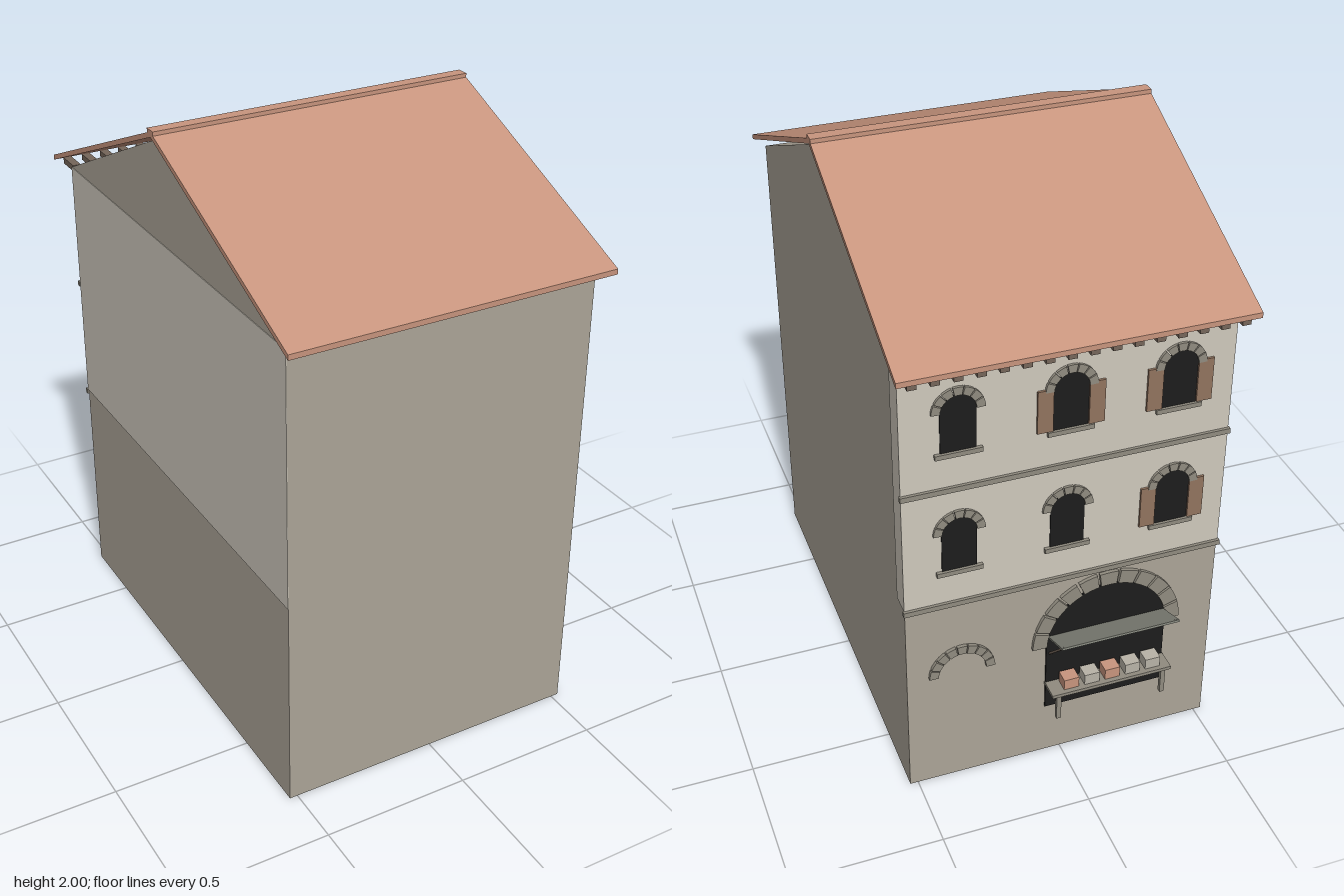
import * as THREE from 'three';

const mat = (name, color) => new THREE.MeshStandardMaterial({ name, color });
const stone = mat('wall stone', 0xaca598);
const plaster = mat('pale plaster', 0xcfc9bd);
const tile = mat('roof terracotta', 0xc8957e);
const trim = mat('trim stone', 0x918c80);
const dark = mat('dark opening', 0x1c1c1c);
const wood = mat('shutter wood', 0x92745f);
const rafterWood = mat('rafter wood', 0x75665a);
const canvas = mat('awning canvas', 0x82847a);
const paleCrate = mat('pale crate', 0xb9b4a8);

const BACK = -0.74; // plane of the decorated wall

export function createModel() {
  const root = new THREE.Group();

  function add(name, geo, material, parent = root) {
    const m = new THREE.Mesh(geo, material);
    m.name = name;
    parent.add(m);
    return m;
  }

  // Box given by its limits on each axis
  function box(name, x0, x1, y0, y1, z0, z1, material, parent) {
    const g = new THREE.BoxGeometry(x1 - x0, y1 - y0, z1 - z0);
    g.translate((x0 + x1) / 2, (y0 + y1) / 2, (z0 + z1) / 2);
    return add(name, g, material, parent);
  }

  // Side profile of [z, y] points drawn out from x0 to x1
  function prism(name, pts, x0, x1, material, parent) {
    const shape = new THREE.Shape(pts.map(([z, y]) => new THREE.Vector2(-z, y)));
    const g = new THREE.ExtrudeGeometry(shape, { depth: x1 - x0, bevelEnabled: false });
    g.rotateY(Math.PI / 2).translate(x0, 0, 0);
    return add(name, g, material, parent);
  }

  // Flat shape standing out of the decorated wall
  function onWall(name, shape, out, material, parent) {
    const g = new THREE.ExtrudeGeometry(shape, { depth: out, bevelEnabled: false, curveSegments: 12 });
    g.translate(0, 0, BACK - out);
    return add(name, g, material, parent);
  }

  // Round-headed opening
  function opening(x, y0, spring, r, parent) {
    const s = new THREE.Shape();
    s.moveTo(x - r, y0);
    s.lineTo(x + r, y0);
    s.lineTo(x + r, spring);
    s.absarc(x, spring, r, 0, Math.PI, false);
    s.closePath();
    onWall('opening', s, 0.006, dark, parent);
  }

  // Ring of separate wedge stones
  function arch(x, y, r0, r1, count, parent, out = 0.012) {
    const step = Math.PI / count;
    for (let i = 0; i < count; i++) {
      const a = (i + 0.06) * step, b = (i + 0.94) * step;
      const s = new THREE.Shape();
      s.absarc(x, y, r1, a, b, false);
      s.absarc(x, y, r0, b, a, true);
      s.closePath();
      onWall('archStone', s, out, trim, parent);
    }
  }

  // Main body with gables
  prism('walls', [[0.8, 0], [0.8, 1.62], [0.015, 1.97], [BACK, 1.62], [BACK, 0]], -0.527, 0.527, stone);

  // Plaster skin of the upper floors, returning round both corners
  box('plasterWall', -0.529, 0.529, 0.745, 1.618, BACK - 0.003, BACK, plaster);
  box('plasterReturnLeft', 0.527, 0.529, 0.745, 1.618, BACK, -0.67, plaster);
  box('plasterSideRight', -0.529, -0.527, 0.745, 1.618, BACK, 0.8, plaster);

  // Roof slopes and ridge
  const roof = new THREE.Group();
  roof.name = 'roof';
  root.add(roof);
  prism('frontSlope', [[0.865, 1.622], [0.865, 1.64], [0.012, 1.995], [0.012, 1.977]], -0.557, 0.557, tile, roof);
  prism('backSlope', [[0.012, 1.977], [0.012, 1.995], [-0.833, 1.638], [-0.833, 1.62]], -0.557, 0.557, tile, roof);
  box('ridge', -0.557, 0.557, 1.978, 2, -0.01, 0.032, tile, roof);

  // Rafter tails under the back eave
  const rafters = new THREE.Group();
  rafters.name = 'rafters';
  root.add(rafters);
  for (let i = 0; i < 16; i++) {
    const x = -0.51 + i * 0.068;
    box('rafter', x - 0.014, x + 0.014, 1.602, 1.623, -0.828, BACK, rafterWood, rafters);
  }

  // String courses
  for (const y of [0.738, 1.175]) {
    box('stringCourse', -0.533, 0.533, y - 0.009, y + 0.009, BACK - 0.013, BACK, trim);
  }

  // Two rows of arched windows, some with open shutters
  const shuttered = [[-0.35], [0, -0.35]];
  [0.87, 1.307].forEach((y, row) => {
    for (const x of [-0.35, 0, 0.35]) {
      const w = new THREE.Group();
      w.name = 'window';
      root.add(w);
      opening(x, y, y + 0.14, 0.056, w);
      arch(x, y + 0.14, 0.056, 0.083, 7, w);
      box('sill', x - 0.074, x + 0.074, y - 0.014, y + 0.002, BACK - 0.015, BACK, trim, w);
      if (!shuttered[row].includes(x)) continue;
      for (const s of [-1, 1]) {
        const cx = x + s * 0.082;
        box('shutter', cx - 0.025, cx + 0.025, y + 0.003, y + 0.15, BACK - 0.011, BACK, wood, w);
      }
    }
  });

  // Blind arch on the ground floor
  const blind = new THREE.Group();
  blind.name = 'blindArch';
  root.add(blind);
  arch(0.345, 0.445, 0.08, 0.11, 9, blind);

  // Shop opening
  const shop = new THREE.Group();
  shop.name = 'shop';
  root.add(shop);
  opening(-0.15, 0.2, 0.46, 0.208, shop);
  arch(-0.15, 0.46, 0.208, 0.257, 11, shop);

  // Awning propped open by two struts
  prism('awning', [[BACK, 0.496], [BACK, 0.503], [-0.863, 0.553], [-0.865, 0.546]], -0.352, 0.053, canvas, shop);
  for (const x of [-0.343, 0.044]) {
    prism('strut', [[BACK, 0.42], [BACK, 0.431], [-0.855, 0.55], [-0.858, 0.543]], x - 0.005, x + 0.005, rafterWood, shop);
  }

  // Market table with goods
  box('tableTop', -0.36, 0.06, 0.297, 0.309, -0.816, BACK, trim, shop);
  for (const x of [-0.335, 0.035]) {
    box('tableLeg', x - 0.008, x + 0.008, 0.2, 0.297, -0.811, -0.797, trim, shop);
  }
  [tile, paleCrate, tile, paleCrate, paleCrate].forEach((m, i) => {
    const x = -0.012 - i * 0.072;
    box('crate', x - 0.026, x + 0.026, 0.309, 0.348, -0.8, -0.753, m, shop);
  });

  return root;
}
